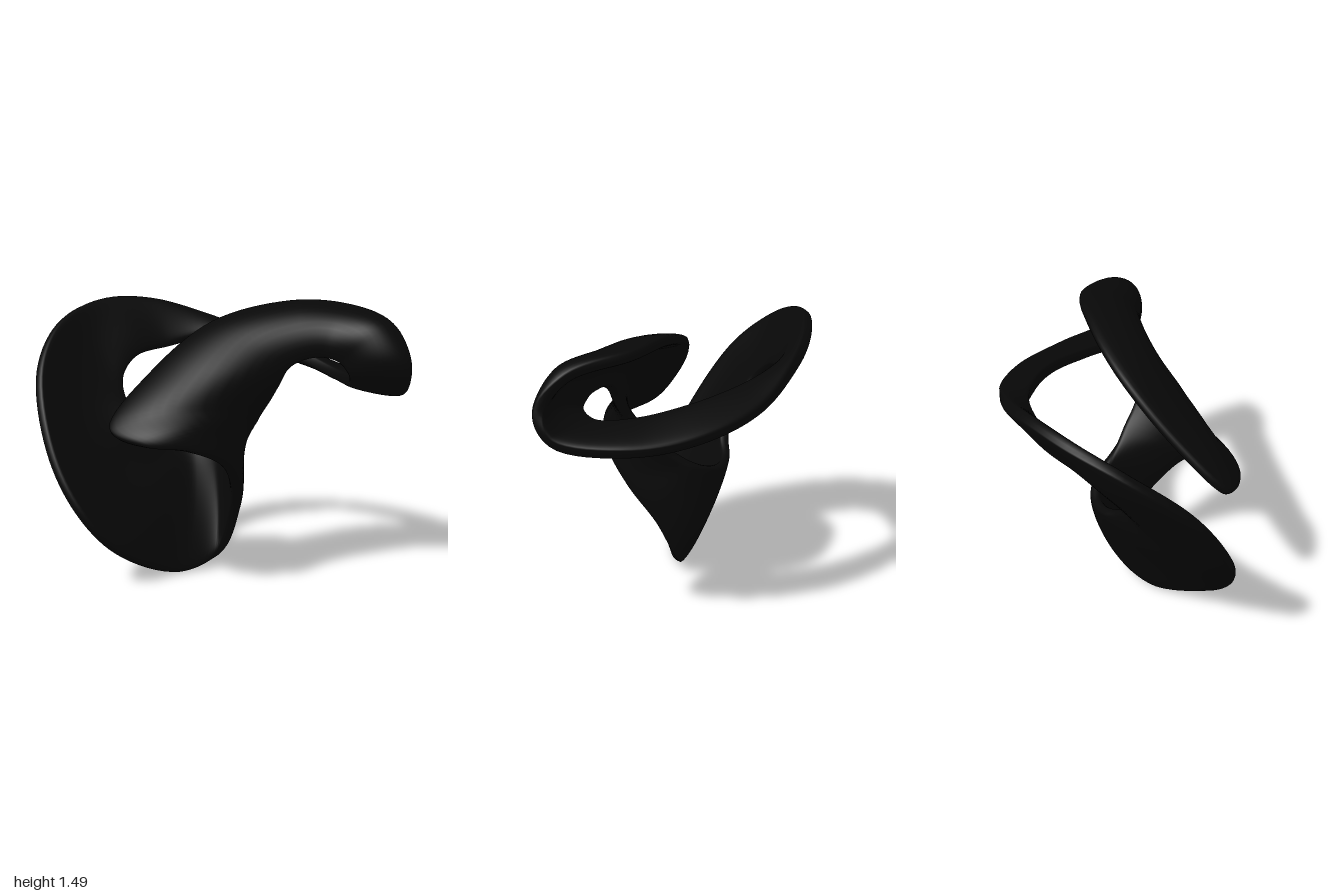
import * as THREE from 'three';

// Guide curves of the closed ribbon: matching stations along each curve.
const OUTER = [
  -0.1, 1.32, -0.585, -0.42, 1.43, -0.535, -0.7, 1.445, -0.41, -0.905, 1.36, -0.19,
  -0.99, 1.12, 0.11, -0.9, 0.72, 0.36, -0.74, 0.42, 0.46, -0.54, 0.185, 0.42,
  -0.23, 0.01, 0.19, -0.03, 0.08, 0.085, 0.06, 0.33, 0.16, 0.08, 0.53, 0.32,
  0.02, 0.69, 0.46, -0.15, 0.775, 0.565, -0.39, 0.805, 0.585, -0.56, 0.86, 0.46,
  -0.38, 1.1, 0.22, -0.06, 1.35, 0.02, 0.35, 1.455, -0.035, 0.65, 1.445, 0.01,
  0.875, 1.37, 0.25, 0.965, 1.2, 0.37, 0.965, 1.065, 0.31, 0.84, 1.02, -0.06,
  0.62, 1.06, -0.345, 0.3, 1.15, -0.53,
];
const INNER = [
  -0.08, 1.235, -0.46, -0.33, 1.18, -0.41, -0.5, 1.14, -0.3, -0.57, 1.04, -0.18,
  -0.55, 0.92, -0.1, -0.46, 0.8, -0.04, -0.38, 0.72, -0.07, -0.28, 0.665, -0.12,
  -0.17, 0.645, -0.135, -0.07, 0.66, -0.11, 0.015, 0.69, -0.06, 0.07, 0.73, 0.005,
  0.12, 0.785, 0.07, 0.17, 0.855, 0.125, 0.21, 0.925, 0.18, 0.255, 1.0, 0.23,
  0.3, 1.08, 0.265, 0.35, 1.16, 0.28, 0.43, 1.205, 0.275, 0.52, 1.22, 0.275,
  0.61, 1.2, 0.29, 0.66, 1.145, 0.295, 0.665, 1.09, 0.22, 0.59, 1.1, 0.03,
  0.42, 1.155, -0.2, 0.2, 1.205, -0.36,
];
// How far the middle of the ribbon bows away from the straight line, by station.
const BOW = {
  3: [-0.02, 0, -0.03], 4: [-0.03, 0, -0.04], 5: [-0.04, -0.02, -0.04], 6: [-0.03, -0.02, -0.04],
  7: [0, -0.02, -0.03], 8: [0.02, -0.02, -0.03], 9: [0.03, -0.02, -0.02], 10: [0.02, 0, 0],
  12: [0, 0, 0.03], 13: [0, 0, 0.07], 14: [0, 0.02, 0.11], 15: [0, 0.03, 0.125],
  16: [0, 0.04, 0.125], 17: [0, 0.05, 0.095], 18: [0.02, 0.055, 0.095], 19: [0.01, 0.055, 0.1],
  20: [0.02, 0.05, 0.075], 21: [0.01, 0.02, 0.04],
};

const HALF_THICKNESS = 0.042;
const ALONG = 208;
const AROUND = 40;

function toPoints(list) {
  const points = [];
  for (let i = 0; i < list.length; i += 3) points.push(new THREE.Vector3(list[i], list[i + 1], list[i + 2]));
  return points;
}

function buildRibbon() {
  const outer = toPoints(OUTER);
  const inner = toPoints(INNER);
  const middle = outer.map((p, i) => p.clone().lerp(inner[i], 0.5)
    .add(new THREE.Vector3(...(BOW[i] || [0, 0, 0]))));
  const [co, cm, ci] = [outer, middle, inner].map((p) => new THREE.CatmullRomCurve3(p, true));

  // Point of the centre surface: s = 1 on the outer rim, -1 on the inner rim.
  const surface = (u, s) => {
    const t = ((u % 1) + 1) % 1;
    return co.getPoint(t).multiplyScalar(s * (s + 1) / 2)
      .addScaledVector(cm.getPoint(t), 1 - s * s)
      .addScaledVector(ci.getPoint(t), s * (s - 1) / 2);
  };

  const position = [];
  const index = [];
  for (let i = 0; i < ALONG; i++) {
    const u = i / ALONG;
    for (let j = 0; j < AROUND; j++) {
      // Flat section with rounded rims
      const a = (j / AROUND) * Math.PI * 2;
      const s = Math.cos(a);
      const sin = Math.sin(a);
      const lift = HALF_THICKNESS * Math.sign(sin) * Math.pow(Math.abs(sin), 0.4);
      const du = surface(u + 0.005, s).sub(surface(u - 0.005, s));
      const dv = surface(u, s + 0.02).sub(surface(u, s - 0.02));
      const p = surface(u, s).addScaledVector(du.cross(dv).normalize(), lift);
      position.push(p.x, p.y, p.z);

      const i2 = (i + 1) % ALONG;
      const j2 = (j + 1) % AROUND;
      const A = i * AROUND + j, B = i * AROUND + j2;
      const C = i2 * AROUND + j, D = i2 * AROUND + j2;
      index.push(A, B, C, B, D, C);
    }
  }
  const geometry = new THREE.BufferGeometry();
  geometry.setAttribute('position', new THREE.Float32BufferAttribute(position, 3));
  geometry.setIndex(index);

  // Centre on x and z, stand on the ground
  geometry.computeBoundingBox();
  const box = geometry.boundingBox;
  const c = box.getCenter(new THREE.Vector3());
  geometry.translate(-c.x, -box.min.y, -c.z);
  geometry.computeVertexNormals();
  return geometry;
}

export function createModel() {
  const black = new THREE.MeshStandardMaterial({ color: 0x080808 });
  black.name = 'black';
  const ribbon = new THREE.Mesh(buildRibbon(), black);
  ribbon.name = 'twistedRibbon';
  const group = new THREE.Group();
  group.name = 'ribbonSculpture';
  group.add(ribbon);
  return group;
}
